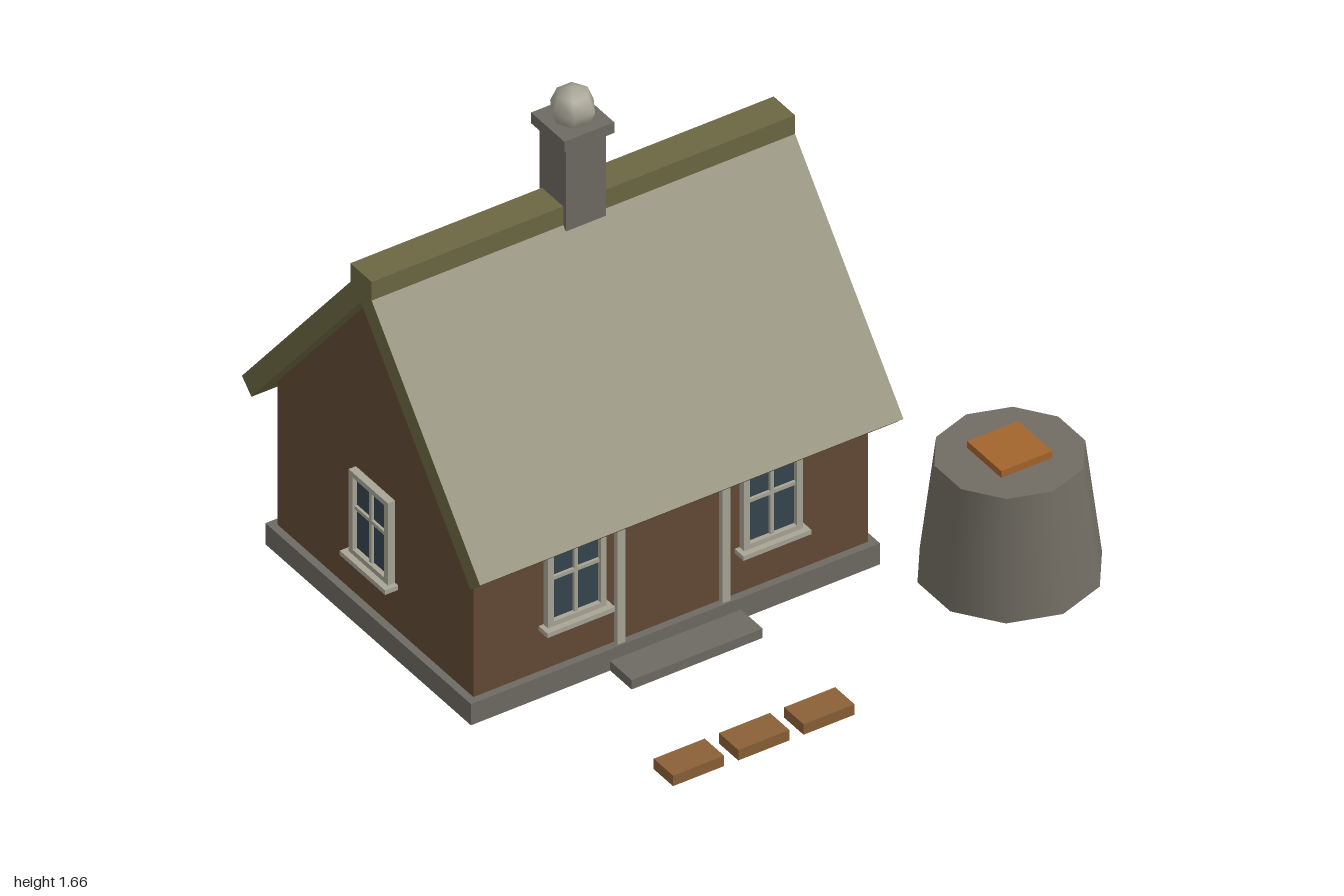
import * as THREE from 'three';

const mat = (name, color, side = THREE.FrontSide) => {
  const m = new THREE.MeshStandardMaterial({ color, side });
  m.name = name;
  return m;
};

export function createModel() {
  const stone = mat('stone', 0x6e6a63);
  const rough = mat('rough stone', 0x716d63);
  const wall = mat('brown wall', 0x634a36);
  const thatch = mat('olive thatch', 0x6c6743);
  const trim = mat('pale trim', 0xa8a596);
  const glass = mat('dark glass', 0x36454f);
  const wood = mat('wood', 0x8a6036, THREE.DoubleSide);
  const orange = mat('orange wood', 0xa3652c);

  const model = new THREE.Group();
  model.name = 'cottage';
  const CX = -0.27, CZ = -0.24; // centre of the house

  const add = (name, geometry, material, parent = model) => {
    const mesh = new THREE.Mesh(geometry, material);
    mesh.name = name;
    parent.add(mesh);
    return mesh;
  };
  // Box given by its limits on each axis
  const box = (name, material, x0, x1, y0, y1, z0, z1, parent) => {
    const g = new THREE.BoxGeometry(x1 - x0, y1 - y0, z1 - z0);
    g.translate((x0 + x1) / 2, (y0 + y1) / 2, (z0 + z1) / 2);
    return add(name, g, material, parent);
  };
  // Gable profile (z offset, y) drawn out along x
  const alongX = (name, points, length, material) => {
    const shape = new THREE.Shape(points.map(([z, y]) => new THREE.Vector2(z, y)));
    const g = new THREE.ExtrudeGeometry(shape, { depth: length, bevelEnabled: false });
    g.translate(0, 0, -length / 2).rotateY(Math.PI / 2).translate(CX, 0, CZ);
    return add(name, g, material);
  };

  // House body
  box('plinth', stone, -0.975, 0.435, 0, 0.075, -0.77, 0.29);
  alongX('walls', [[-0.505, 0.075], [0.505, 0.075], [0.505, 0.583], [0, 1.19], [-0.505, 0.583]], 1.36, wall);
  alongX('roof', [[0.565, 0.512], [0.614, 0.557], [0, 1.295], [-0.614, 0.557], [-0.565, 0.512], [0, 1.19]], 1.46, thatch);
  box('ridgeCap', thatch, -1, 0.46, 1.2, 1.295, CZ - 0.055, CZ + 0.055);

  // Chimney with ball
  box('chimney', stone, CX - 0.069, CX + 0.069, 1.215, 1.515, CZ - 0.069, CZ + 0.069);
  box('chimneyCap', stone, CX - 0.086, CX + 0.086, 1.512, 1.55, CZ - 0.086, CZ + 0.086);
  add('chimneyBall', new THREE.SphereGeometry(0.072, 6, 4), trim).position.set(CX, 1.588, CZ);

  // Door surround and step
  const front = CZ + 0.505;
  for (const s of [-1, 1]) {
    const x = CX + s * 0.181;
    box('doorPost', trim, x - 0.014, x + 0.014, 0.075, 0.57, front - 0.01, front + 0.018);
  }
  box('doorLintel', trim, CX - 0.195, CX + 0.195, 0.535, 0.565, front - 0.01, front + 0.018);
  box('doorStep', stone, CX - 0.226, CX + 0.226, 0.001, 0.034, 0.2, 0.402);

  // Window: glass, frame, glazing bars and sill, facing +z locally
  const addWindow = (x, z, turn) => {
    const w = new THREE.Group();
    w.name = 'window';
    box('pane', glass, -0.09, 0.09, 0.24, 0.52, 0, 0.009, w);
    for (const s of [-1, 1]) {
      box('frameSide', trim, s * 0.091 - 0.01, s * 0.091 + 0.01, 0.235, 0.527, 0, 0.025, w);
    }
    box('frameTop', trim, -0.081, 0.081, 0.509, 0.527, 0, 0.025, w);
    box('frameBottom', trim, -0.081, 0.081, 0.235, 0.253, 0, 0.025, w);
    box('verticalBar', trim, -0.006, 0.006, 0.253, 0.509, 0, 0.018, w);
    box('crossBar', trim, -0.081, 0.081, 0.394, 0.406, 0, 0.018, w);
    box('sill', trim, -0.117, 0.117, 0.22, 0.236, 0, 0.045, w);
    w.position.set(x, 0, z);
    w.rotation.y = turn;
    model.add(w);
  };
  for (const s of [-1, 1]) {
    addWindow(CX + s * 0.338, front, 0);
    addWindow(CX + s * 0.338, CZ - 0.505, Math.PI);
    addWindow(CX + s * 0.68, CZ, s * Math.PI / 2);
  }

  // Stone drum with a wooden block on top
  add('drum', new THREE.CylinderGeometry(0.225, 0.275, 0.405, 10), rough).position.set(0.737, 0.2025, 0.508);
  box('drumBlock', orange, 0.649, 0.825, 0.405, 0.429, 0.42, 0.596);

  // Row of hollow wooden trays, open underneath
  const tray = new THREE.BoxGeometry(0.176, 0.037, 0.1);
  const faces = Array.from(tray.index.array);
  faces.splice(18, 6);
  tray.setIndex(faces);
  tray.clearGroups();
  for (let i = 0; i < 3; i++) {
    add('tray', tray, wood).position.set(-0.57 + i * 0.225, 0.0185, 0.808);
  }

  return model;
}
